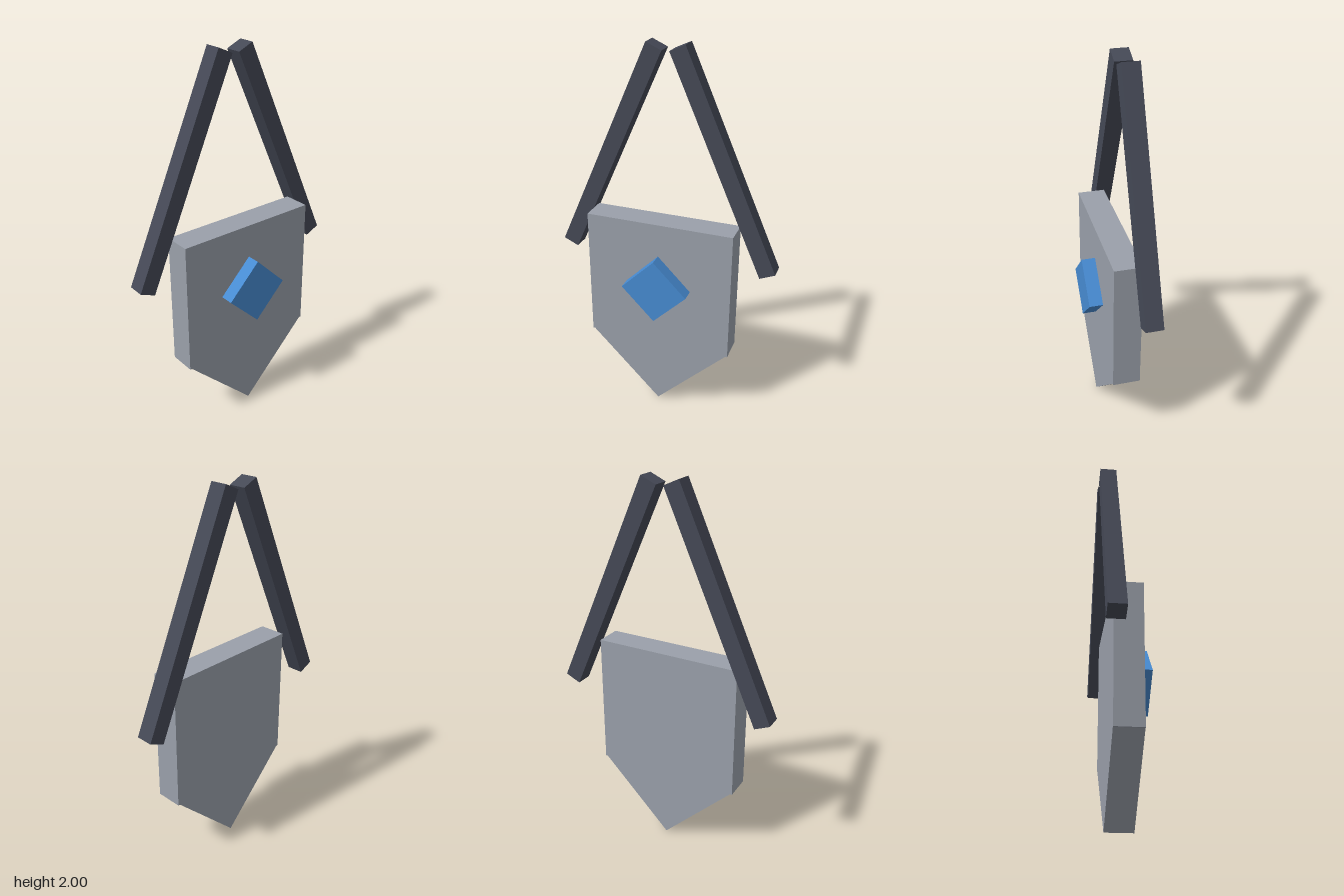
import * as THREE from 'three';

const material = (name, color) => {
  const m = new THREE.MeshStandardMaterial({ color });
  m.name = name;
  return m;
};

export function createModel() {
  const group = new THREE.Group();
  const steel = material('grey steel', 0x9aa0aa);
  const dark = material('dark strap', 0x454956);
  const blue = material('blue gem', 0x478bd2);

  const add = (name, geometry, mat, x, y, z, tilt = 0) => {
    const mesh = new THREE.Mesh(geometry, mat);
    mesh.name = name;
    mesh.position.set(x, y, z);
    mesh.rotation.z = tilt;
    group.add(mesh);
  };

  // Pendant plate: square top with a pointed lower end
  const outline = new THREE.Shape([
    [0, 0.003], [0.385, 0.388], [0.396, 0.388], [0.396, 1.108],
    [-0.396, 1.108], [-0.396, 0.388], [-0.385, 0.388],
  ].map(([x, y]) => new THREE.Vector2(x, y)));
  const plate = new THREE.ExtrudeGeometry(outline, { depth: 0.144, bevelEnabled: false });
  add('plate', plate, steel, 0, 0, -0.084);

  // Diamond-set square gem on the front
  add('gem', new THREE.BoxGeometry(0.252, 0.252, 0.09), blue, 0, 0.75, 0.087, Math.PI / 4);

  // Two straps leaning together behind the plate
  const strap = new THREE.BoxGeometry(0.088, 1.224, 0.09);
  for (const side of [1, -1]) {
    add(side > 0 ? 'leftStrap' : 'rightStrap', strap, dark, side * 0.309, 1.423, -0.087, side * 0.42);
  }
  return group;
}
